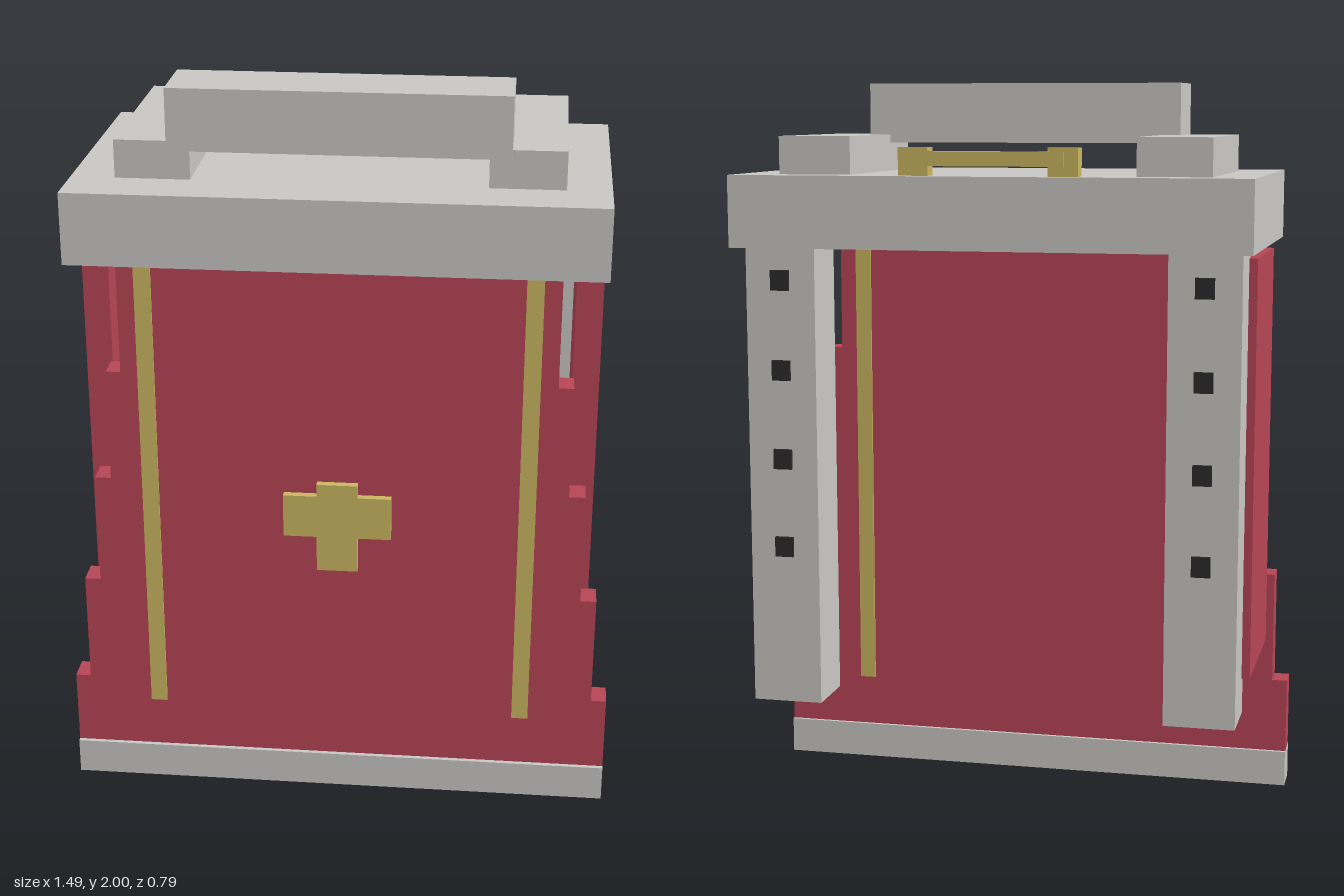
import * as THREE from 'three';

const mat = (name, color) => {
  const m = new THREE.MeshStandardMaterial({ color });
  m.name = name;
  return m;
};

export function createModel() {
  const stone = mat('pale grey', 0xc8c6c2);
  const cloth = mat('crimson', 0xb64555);
  const gold = mat('gold', 0xc9b560);
  const dark = mat('black', 0x2a2a2c);

  const model = new THREE.Group();
  model.name = 'drapedFrame';

  // Box given by its lower and upper limits on each axis
  const box = (name, material, [x0, x1], [y0, y1], [z0, z1], parent = model) => {
    const mesh = new THREE.Mesh(new THREE.BoxGeometry(x1 - x0, y1 - y0, z1 - z0), material);
    mesh.position.set((x0 + x1) / 2, (y0 + y1) / 2, (z0 + z1) / 2);
    mesh.name = name;
    parent.add(mesh);
    return mesh;
  };
  // The same box on both sides
  const pair = (name, material, [x0, x1], y, z, parent = model) => {
    box(name + 'Left', material, [x0, x1], y, z, parent);
    box(name + 'Right', material, [-x1, -x0], y, z, parent);
  };

  // Top slab with raised blocks
  box('topSlab', stone, [-0.69, 0.69], [1.57, 1.76], [-0.395, 0.395]);
  pair('sideBlock', stone, [0.38, 0.575], [1.76, 1.86], [-0.31, 0.25]);
  box('frontBlock', stone, [-0.437, 0.437], [1.838, 2], [0.07, 0.265]);

  // Handle at the back of the slab
  const handle = new THREE.Group();
  handle.name = 'handle';
  model.add(handle);
  pair('handlePost', gold, [0.158, 0.237], [1.76, 1.833], [-0.354, -0.303], handle);
  box('handleBar', gold, [-0.2, 0.2], [1.785, 1.823], [-0.36, -0.322], handle);

  // Front panel, stepped outline widening towards the floor
  const steps = [[0.745, 0.1], [0.703, 0.31], [0.66, 0.62], [0.616, 0.93], [0.576, 1.24]];
  const outline = [];
  steps.forEach(([x, y], i) => {
    const top = i < steps.length - 1 ? steps[i + 1][1] : 1.55;
    outline.push(new THREE.Vector2(x, y), new THREE.Vector2(x, top));
  });
  const left = outline.map((p) => new THREE.Vector2(-p.x, p.y)).reverse();
  const panel = new THREE.Mesh(
    new THREE.ExtrudeGeometry(new THREE.Shape([...outline, ...left]), { depth: 0.075, bevelEnabled: false }),
    cloth
  );
  panel.position.z = 0.215;
  panel.name = 'frontPanel';
  model.add(panel);

  // Hem, with the cloth showing underneath
  box('hem', [stone, stone, stone, cloth, stone, stone], [-0.745, 0.745], [0, 0.1], [0.205, 0.302]);

  // Gold stripes running through the panel, and the cross
  pair('stripe', gold, [0.485, 0.53], [0.245, 1.57], [0.21, 0.295]);
  const cross = new THREE.Shape([
    [0.055, 0.69], [0.055, 0.79], [0.145, 0.79], [0.145, 0.91], [0.055, 0.91], [0.055, 0.945],
    [-0.055, 0.945], [-0.055, 0.91], [-0.145, 0.91], [-0.145, 0.79], [-0.055, 0.79], [-0.055, 0.69],
  ].map(([x, y]) => new THREE.Vector2(x, y)));
  const emblem = new THREE.Mesh(new THREE.ExtrudeGeometry(cross, { depth: 0.022, bevelEnabled: false }), gold);
  emblem.position.z = 0.289;
  emblem.name = 'cross';
  model.add(emblem);

  // Side panels and back posts with studs
  pair('sidePanel', cloth, [0.612, 0.682], [0.43, 1.55], [-0.208, 0.213]);
  pair('backPost', stone, [0.47, 0.66], [0.33, 1.57], [-0.35, -0.182]);
  for (let i = 0; i < 4; i++) {
    const y = 0.763 + i * 0.24;
    pair('stud' + (i + 1), dark, [0.54, 0.59], [y - 0.027, y + 0.027], [-0.36, -0.35]);
  }

  return model;
}
